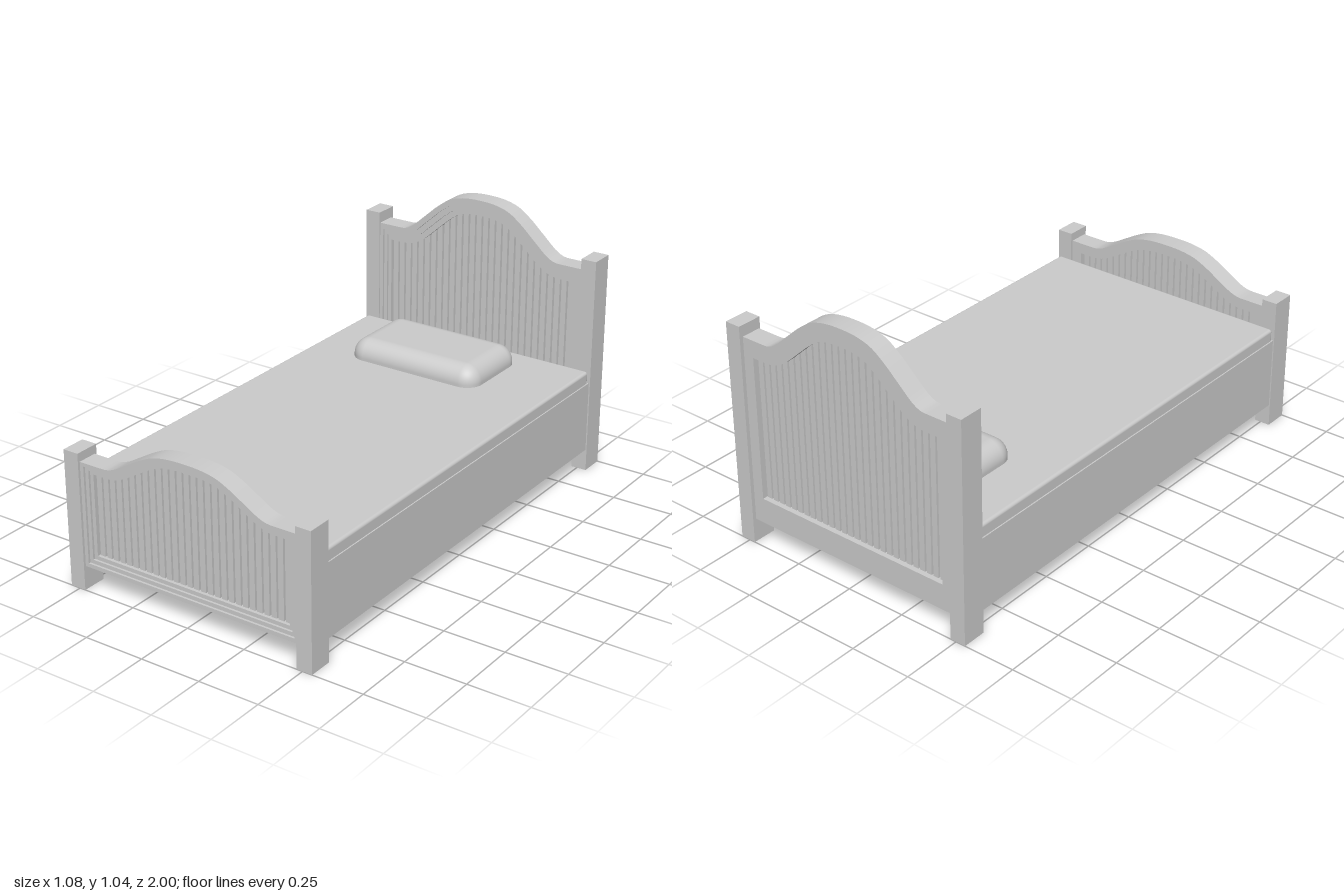
import * as THREE from 'three';
import { toCreasedNormals } from 'three/addons/utils/BufferGeometryUtils.js';
import { RoundedBoxGeometry } from 'three/addons/geometries/RoundedBoxGeometry.js';

const material = new THREE.MeshStandardMaterial({ color: 0xcccccc });
const openMaterial = new THREE.MeshStandardMaterial({ color: 0xcccccc, side: THREE.DoubleSide });

function add(parent, name, geometry, x = 0, y = 0, z = 0, mat = material) {
  const mesh = new THREE.Mesh(geometry, mat);
  mesh.name = name;
  mesh.position.set(x, y, z);
  parent.add(mesh);
  return mesh;
}

// Arch shape shared by both end boards: distance from centre, share of the rise
const half = [[0.39, 0], [0.36, 0.005], [0.33, 0.06], [0.255, 0.39], [0.19, 0.69], [0.125, 0.905], [0.06, 0.985]];
const archCurve = new THREE.CatmullRomCurve3([
  ...half.map(([x, h]) => new THREE.Vector3(-x, h, 0)),
  new THREE.Vector3(0, 1, 0),
  ...half.slice().reverse().map(([x, h]) => new THREE.Vector3(x, h, 0)),
]);
const arch = archCurve.getPoints(56);

function archHeight(x) {
  if (Math.abs(x) >= 0.39) return 0;
  const i = Math.max(1, arch.findIndex((p) => p.x >= x));
  const a = arch[i - 1], b = arch[i];
  return a.y + (b.y - a.y) * (x - a.x) / (b.x - a.x);
}

// Arched outline moved inwards by separate side, top and bottom amounts
function outline(o, k) {
  const w = 0.475 - 0.015 * k, d = o.topStep * k, bottom = 0.095 + o.bottomStep * k;
  const pts = [new THREE.Vector2(-w, bottom), new THREE.Vector2(w, bottom), new THREE.Vector2(w, o.shoulder - d)];
  for (let i = arch.length - 1; i >= 0; i--) {
    const a = arch[Math.max(0, i - 1)], b = arch[Math.min(arch.length - 1, i + 1)];
    const n = new THREE.Vector2((b.y - a.y) * o.rise, a.x - b.x).normalize();
    pts.push(new THREE.Vector2(arch[i].x + n.x * d, o.shoulder + arch[i].y * o.rise + n.y * d));
  }
  pts.push(new THREE.Vector2(-w, o.shoulder - d));
  return pts;
}

function endBoard(name, o) {
  const board = new THREE.Group();
  board.name = name;
  board.position.z = o.z;

  // Three nested frame mouldings, stepping back towards the slats
  for (let k = 0; k < 3; k++) {
    const shape = new THREE.Shape(outline(o, k));
    shape.holes.push(new THREE.Path(outline(o, k + 1)));
    const geo = new THREE.ExtrudeGeometry(shape, { depth: 0.08 - k * 0.009, bevelEnabled: false });
    add(board, 'frameMoulding', toCreasedNormals(geo, 0.5), 0, 0, -0.04);
  }

  // Vertical slats following the arch, with open gaps
  const count = 28, pitch = 0.86 / count;
  const bottom = 0.095 + o.bottomStep * 2.5;
  for (let i = 0; i < count; i++) {
    const x = (i - (count - 1) / 2) * pitch;
    const top = o.shoulder + archHeight(x) * o.rise - o.topStep * 2.3;
    add(board, 'slat', new THREE.BoxGeometry(pitch - 0.008, top - bottom, 0.03), x, (top + bottom) / 2, -0.005);
  }
  return board;
}

// Hollow post, open at the foot
function postGeometry(height) {
  const geo = new THREE.BoxGeometry(0.065, height, 0.1);
  const index = Array.from(geo.index.array);
  index.splice(18, 6);
  geo.setIndex(index);
  geo.clearGroups();
  return geo;
}

export function createModel() {
  const bed = new THREE.Group();
  bed.name = 'bed';

  bed.add(endBoard('headboard', { z: -0.945, shoulder: 0.855, rise: 0.19, topStep: 0.0235, bottomStep: 0.035 }));
  bed.add(endBoard('footboard', { z: 0.95, shoulder: 0.515, rise: 0.123, topStep: 0.015, bottomStep: 0.0155 }));

  // Posts and side rails
  for (const side of [-1, 1]) {
    add(bed, 'headPost', postGeometry(0.9), side * 0.5075, 0.45, -0.95, openMaterial);
    add(bed, 'footPost', postGeometry(0.55), side * 0.5075, 0.275, 0.95, openMaterial);
    add(bed, 'sideRail', new THREE.BoxGeometry(0.04, 0.295, 1.8), side * 0.515, 0.2375, 0);
  }

  // Base, mattress and pillow
  add(bed, 'bedBase', new THREE.BoxGeometry(0.99, 0.02, 1.8), 0, 0.32, 0);
  add(bed, 'mattress', new RoundedBoxGeometry(1.06, 0.105, 1.8, 3, 0.012), 0, 0.3825, 0);
  add(bed, 'pillow', new RoundedBoxGeometry(0.59, 0.15, 0.355, 6, 0.07), -0.045, 0.44, -0.653);

  return bed;
}
